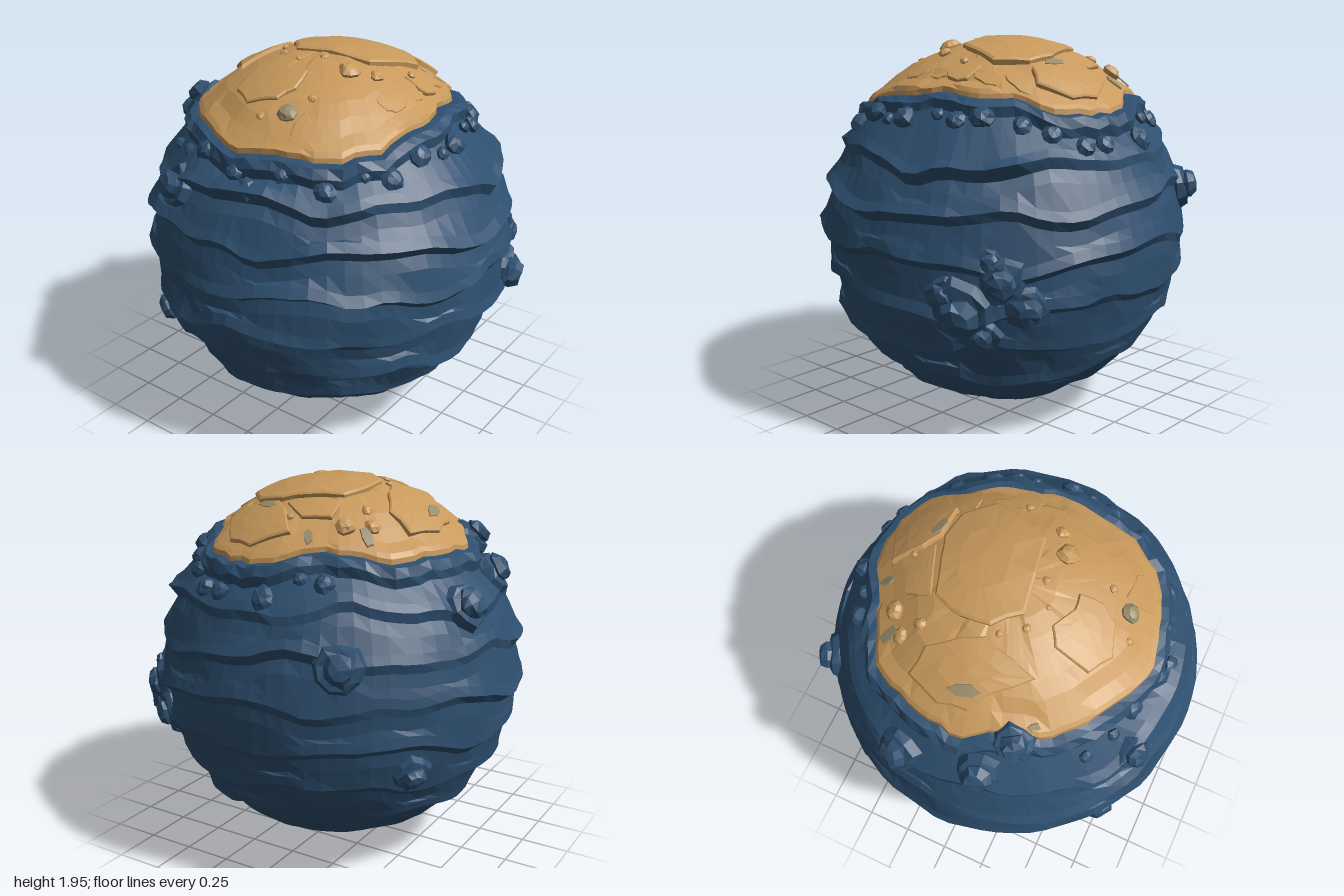
import * as THREE from 'three';

const CY = 0.97, SEG = 72, TAU = Math.PI * 2;
const rock = new THREE.MeshStandardMaterial({ color: 0x2e4f6f });
rock.name = 'blue rock';
const sand = new THREE.MeshStandardMaterial({ color: 0xc8995c });
sand.name = 'sand';
const stone = new THREE.MeshStandardMaterial({ color: 0x9a8d6c });
stone.name = 'grey stone';

// seeded noise, -1 to 1
const noise = (i, j) => {
  const s = Math.sin(i * 12.9898 + j * 78.233) * 43758.5453;
  return (s - Math.floor(s)) * 2 - 1;
};
const lerp = THREE.MathUtils.lerp;

// point at polar angle th, azimuth phi (0 = front, growing towards +x)
const polar = (th, phi, r) => new THREE.Vector3(
  r * Math.sin(th) * Math.sin(phi), r * Math.cos(th), r * Math.sin(th) * Math.cos(phi));

// faceted skin over closed rings, listed from top to bottom
function loft(rings) {
  const pos = [];
  const n = rings[0].length;
  for (let i = 0; i < rings.length - 1; i++) {
    for (let j = 0; j < n; j++) {
      const k = (j + 1) % n;
      const [a, b, c, d] = [rings[i][j], rings[i + 1][j], rings[i + 1][k], rings[i][k]];
      for (const t of [[a, b, c], [a, c, d]]) {
        if (t[0].distanceTo(t[1]) < 1e-6 || t[0].distanceTo(t[2]) < 1e-6 || t[1].distanceTo(t[2]) < 1e-6) continue;
        t.forEach(p => pos.push(p.x, p.y, p.z));
      }
    }
  }
  const g = new THREE.BufferGeometry();
  g.setAttribute('position', new THREE.Float32BufferAttribute(pos, 3));
  g.computeVertexNormals();
  return g;
}

// shoreline of the sand cap, as [x, z]
const shore = [[0.72, 0.05], [0.7, 0.2], [0.6, 0.38], [0.45, 0.42], [0.3, 0.53], [0.1, 0.57], [-0.07, 0.62],
  [-0.25, 0.58], [-0.4, 0.57], [-0.5, 0.5], [-0.58, 0.46], [-0.66, 0.25], [-0.73, 0], [-0.68, -0.15],
  [-0.6, -0.3], [-0.53, -0.42], [-0.4, -0.55], [-0.3, -0.58], [-0.15, -0.62], [-0.08, -0.7], [0.1, -0.68],
  [0.3, -0.62], [0.45, -0.55], [0.55, -0.35], [0.6, -0.2], [0.7, -0.08]]
  .map(([x, z]) => ({ a: (Math.atan2(x, z) + TAU) % TAU, rho: Math.hypot(x, z) }))
  .sort((p, q) => p.a - q.a);

function shoreAt(phi) {
  const n = shore.length;
  let i = shore.findIndex(p => p.a > phi);
  if (i < 0) i = 0;
  const p = shore[(i + n - 1) % n], q = shore[i];
  const span = (q.a - p.a + TAU) % TAU;
  const rho = lerp(p.rho, q.rho, ((phi - p.a + TAU) % TAU) / span) + 0.008 * noise(Math.round(phi * 50), 3);
  const r = 0.8 + 0.22 * rho;
  return { r, th: Math.asin(rho / r) };
}
const columns = Array.from({ length: SEG }, (_, j) => {
  const phi = j / SEG * TAU;
  return { phi, j, ...shoreAt(phi) };
});

// globe: shore lip, then sagging ledges with undercuts
function globeGeometry() {
  const rings = [
    columns.map(c => polar(c.th, c.phi, c.r)),
    columns.map(c => polar(c.th + 0.035, c.phi, c.r + 0.025 + 0.008 * noise(c.j, 1))),
    columns.map(c => polar(c.th + 0.085, c.phi, 0.968 + 0.014 * noise(c.j, 2))),
    columns.map(c => polar(c.th + 0.12, c.phi, 0.932)),
  ];
  for (let k = 0; k < 8; k++) {
    const base = 1.1 + k * 0.234;
    const fade = k < 6 ? 1 : 0.55;
    const ledge = (dth, radius) => rings.push(columns.map(c => {
      const wave = 0.035 * Math.sin(2 * c.phi + 0.6) + 0.028 * Math.sin(5 * c.phi + k * 1.9)
        + 0.014 * Math.sin(11 * c.phi + k * 2.7) + 0.012 * noise(c.j >> 1, k);
      return polar(base + fade * wave + dth, c.phi, radius(c));
    }));
    const amp = c => {
      const calm = 1 - 0.6 * Math.max(0, Math.cos(c.phi - 2.3));
      return fade * calm * (0.036 + 0.014 * Math.sin(3 * c.phi + k * 2.3) + 0.01 * noise(c.j >> 1, k + 20));
    };
    ledge(-0.05, c => 0.945 + 0.4 * amp(c));
    ledge(0, c => 0.945 + amp(c));
    ledge(0.045, c => 0.945 - 0.4 * amp(c));
    ledge(0.115, c => 0.942 + 0.004 * noise(c.j >> 1, k + 40));
  }
  rings.push(columns.map(c => polar(3.0, c.phi, 0.955)));
  rings.push(columns.map(() => new THREE.Vector3(0, -0.96, 0)));
  return loft(rings);
}

// sand dome ending on the shoreline
function capGeometry() {
  const steps = [0, 0.12, 0.25, 0.38, 0.5, 0.62, 0.74, 0.85, 0.94, 0.975, 1];
  return loft(steps.map((t, i) => columns.map(c => {
    const bump = i > 0 && i < 10 ? 0.005 * noise(c.j >> 2, i) : 0;
    const lip = i === 8 || i === 9 ? 0.014 : 0;
    return polar(c.th * t, c.phi, lerp(0.966, c.r, t ** 3) + bump + lip);
  })));
}

// raised slab hugging the globe; outline is [x, z] at radius r
function slabGeometry(outline, r, depth, rough = 0.012) {
  const n = outline.length;
  const cx = outline.reduce((s, p) => s + p[0], 0) / n;
  const cz = outline.reduce((s, p) => s + p[1], 0) / n;
  const sorted = outline.map(p => [p[0] - cx, p[1] - cz])
    .sort((p, q) => Math.atan2(p[0], p[1]) - Math.atan2(q[0], q[1]));
  const edge = sorted.flatMap((p, i) => {
    const q = sorted[(i + 1) % n];
    const s = 1 + rough * 4 * noise(i, r * 100 + cx);
    return [p, [(p[0] + q[0]) / 2 * s, (p[1] + q[1]) / 2 * s]];
  });
  const ring = (t, rad) => edge.map(([x, z]) => {
    const px = cx + x * t, pz = cz + z * t;
    return new THREE.Vector3(px, Math.sqrt(r * r - px * px - pz * pz), pz).multiplyScalar(rad / r);
  });
  return loft([ring(0, r), ring(0.5, r), ring(0.95, r), ring(1, r - 0.006), ring(1.02, r - depth)]);
}

// knobbly boulder: wide collar with a smaller knob on top
const knobProfile = [[0, 0.95], [0.42, 0.88], [0.62, 0.62], [0.58, 0.48], [0.85, 0.42], [1, 0.12], [0.8, -0.35]];
const pebbleProfile = [[0, 0.75], [0.6, 0.62], [1, 0.2], [0.8, -0.4]];
function boulderGeometry(profile, size, seed) {
  const sides = 9;
  return loft(profile.map(([rad, y], i) => Array.from({ length: sides }, (_, j) => {
    const a = j / sides * TAU + seed;
    const q = size * rad * (1 + 0.14 * noise(j + seed * 7, i >> 1));
    return new THREE.Vector3(q * Math.sin(a), size * (y + (rad ? 0.06 * noise(j + seed, i) : 0)), q * Math.cos(a));
  })));
}

export function createModel() {
  const model = new THREE.Group();
  model.name = 'rockyPlanet';
  const add = (name, geometry, material) => {
    const m = new THREE.Mesh(geometry, material);
    m.name = name;
    m.position.y = CY;
    model.add(m);
    return m;
  };
  // stands a boulder on the globe in the direction of a point (y measured from the ground)
  const plant = (name, [x, y, z], size, r, profile, material, seed) => {
    const dir = new THREE.Vector3(x, y - CY, z).normalize();
    const m = add(name, boulderGeometry(profile, size, seed), material);
    m.quaternion.setFromUnitVectors(new THREE.Vector3(0, 1, 0), dir);
    m.position.addScaledVector(dir, r);
  };

  add('globe', globeGeometry(), rock);
  add('sandCap', capGeometry(), sand);

  // cracked sand slabs
  [
    [0.987, [[-0.12, -0.13], [0, -0.24], [0.15, -0.25], [0.3, -0.2], [0.36, -0.02], [0.4, 0.1], [0.38, 0.25], [0.25, 0.37], [0.1, 0.33], [-0.05, 0.27]]],
    [0.982, [[-0.28, -0.36], [-0.12, -0.5], [-0.05, -0.6], [0.1, -0.62], [0.28, -0.55], [0.25, -0.42], [0.1, -0.33], [0, -0.29], [-0.15, -0.33]]],
    [0.98, [[-0.55, -0.1], [-0.48, -0.22], [-0.3, -0.2], [-0.25, -0.12], [-0.31, 0], [-0.3, 0.08], [-0.42, 0.1], [-0.5, 0.05]]],
    [0.985, [[0.42, 0.1], [0.48, 0.02], [0.6, -0.08], [0.68, 0.1], [0.64, 0.24], [0.5, 0.34], [0.42, 0.28]]],
    [0.973, [[0.32, -0.2], [0.45, -0.22], [0.5, -0.08], [0.42, 0.05], [0.38, -0.05]]],
  ].forEach(([r, outline]) => add('sandSlab', slabGeometry(outline, r, 0.06), sand));

  // blocky cliff along the front of the cap: [x, z, half width, half depth]
  [[-0.56, 0.3, 0.07, 0.1], [-0.43, 0.39, 0.08, 0.09], [-0.29, 0.43, 0.07, 0.09], [-0.15, 0.45, 0.08, 0.08],
    [0, 0.47, 0.07, 0.06], [0.13, 0.46, 0.07, 0.07], [0.27, 0.42, 0.08, 0.06], [0.42, 0.36, 0.08, 0.05]]
    .forEach(([x, z, w, d], i) => {
      const outline = [[-1, -0.8], [0, -1], [1, -0.9], [1, 0.6], [0.4, 1], [-0.6, 0.9], [-1, 0.5]];
      add('cliffBlock', slabGeometry(outline.map(([u, v]) => [x + u * w, z + v * d]), 0.958 + 0.012 * noise(i, 9), 0.07), sand);
    });

  // bare grey patches: [x, z, half width, half depth, radius]
  [[0, -0.53, 0.08, 0.035, 0.986], [0.45, -0.41, 0.04, 0.045, 0.974], [0.45, 0.15, 0.03, 0.06, 0.988],
    [-0.35, -0.53, 0.03, 0.025, 0.964], [0.58, -0.17, 0.035, 0.03, 0.97]]
    .forEach(([x, z, w, d, r]) => {
      const outline = [[-1, 0.5], [-0.3, 1], [0.5, 0.3], [1, -0.6], [0.3, -1], [-0.6, -0.4]];
      add('greyPatch', slabGeometry(outline.map(([u, v]) => [x + u * w, z + v * d]), r, 0.009), stone);
    });

  // pebbles on the cap: [x, z, size]
  [[-0.53, 0.14, 0.05], [-0.17, 0.23, 0.055], [-0.1, 0.34, 0.035], [0.46, -0.3, 0.05], [0.38, -0.4, 0.04],
    [0.31, -0.33, 0.03], [-0.14, 0.06, 0.022], [-0.15, -0.18, 0.022], [-0.2, -0.05, 0.015], [-0.05, -0.25, 0.018],
    [-0.58, 0.02, 0.02], [0.1, 0.41, 0.022], [-0.42, 0.2, 0.022], [0.5, -0.02, 0.02]]
    .forEach(([x, z, s], i) => plant('pebble', [x, CY + Math.sqrt(0.92 - x * x - z * z), z], s, 0.965,
      pebbleProfile, i === 0 ? stone : sand, i + 1));

  // large boulders: [x, y, z, size]
  [[0.83, 1.2, -0.49, 0.12], [0.55, 0.63, -0.73, 0.1], [0.23, 1.41, -0.83, 0.125], [-0.18, 1.5, -0.8, 0.12],
    [-0.3, 1.66, -0.64, 0.11], [-0.83, 1.38, -0.36, 0.115], [-0.75, 0.62, -0.5, 0.11],
    [0.45, 0.73, 0.82, 0.16], [0.6, 0.88, 0.7, 0.12], [0.68, 0.75, 0.62, 0.11], [0.5, 0.6, 0.74, 0.1],
    [0.38, 0.8, 0.85, 0.1], [0.56, 0.97, 0.74, 0.07]]
    .forEach(([x, y, z, s], i) => plant('boulder', [x, y, z], s, 0.925, knobProfile, rock, i * 1.3 + 1));

  // rubble strewn below the shoreline
  for (let i = 0; i < 22; i++) {
    const phi = (i / 22) * 4.4 - 2.2 + 0.07 * noise(i, 5);
    const th = shoreAt((phi + TAU) % TAU).th + 0.14 + 0.05 * noise(i, 6);
    const p = polar(th, phi, 1);
    plant('rubble', [p.x, p.y + CY, p.z], 0.045 + 0.016 * noise(i, 7), 0.945, pebbleProfile, rock, i + 2);
  }
  return model;
}
